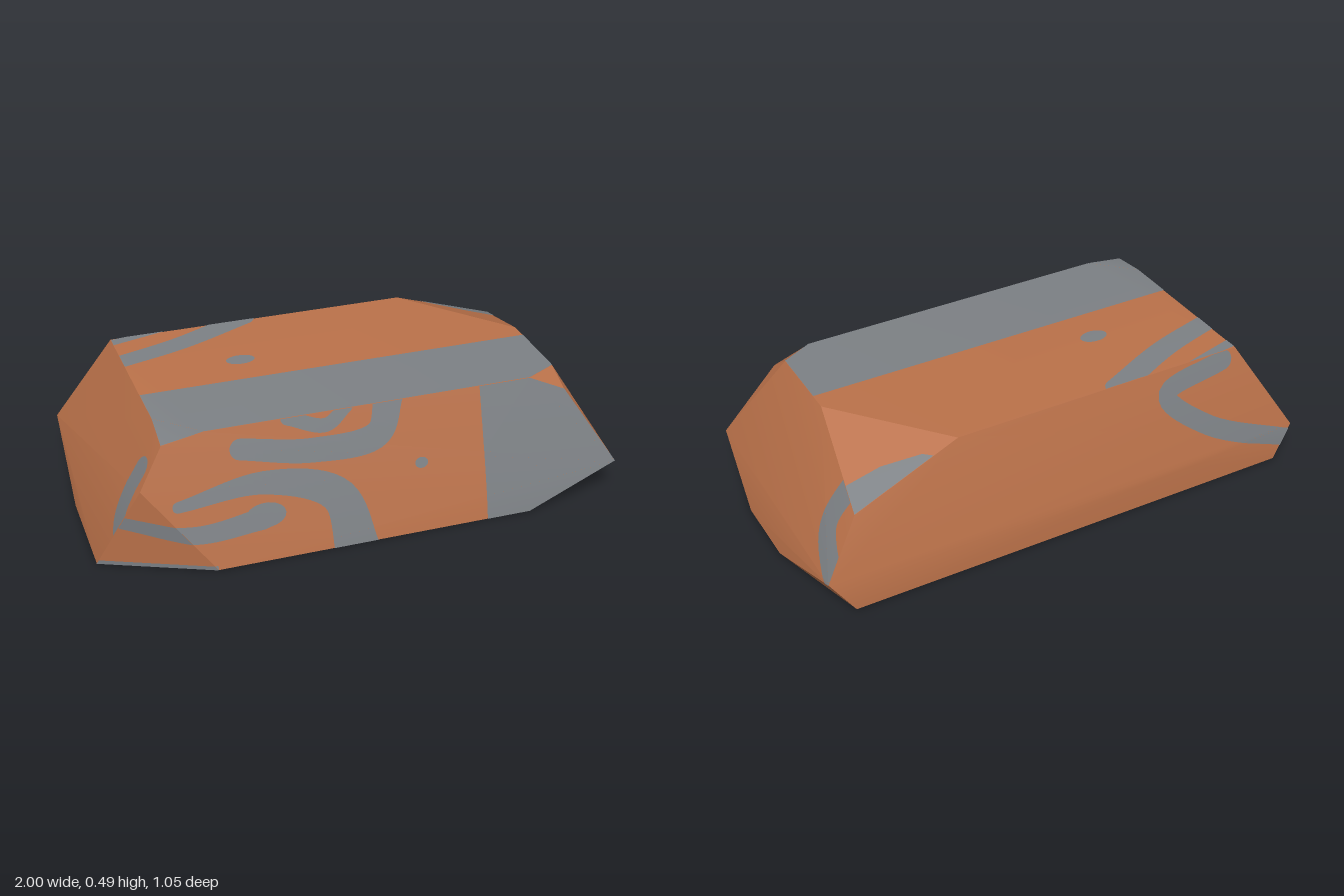
import * as THREE from 'three';
import { toCreasedNormals } from 'three/addons/utils/BufferGeometryUtils.js';
import { ConvexGeometry } from 'three/addons/geometries/ConvexGeometry.js';

const clay = new THREE.MeshStandardMaterial({ color: 0xba7149 });
clay.name = 'rust orange';
const slate = new THREE.MeshStandardMaterial({ color: 0x7c8084 });
slate.name = 'slate grey';

// Corners of the faceted stone: a ring of [x, z] at one height
const level = (y, ...ring) => ring.map(([x, z]) => new THREE.Vector3(x, y, z));
const topRim = level(0.49, [-0.75, 0.25], [-0.6, 0.393], [0.63, 0.393], [0.75, 0.33], [0.75, 0], [0.41, -0.4], [-0.76, -0.4]);
const baseRim = level(0, [-0.6, 0.528], [0.6, 0.528], [1, 0.16], [1, -0.12], [0.88, -0.525], [-0.9, -0.525], [-1, -0.05], [-1, 0.35]);
const shoulders = [
  level(0.465, [-0.755, 0.4]), level(0.43, [0.765, 0.41]),
  level(0.34, [0.83, -0.44]), level(0.32, [-0.845, 0.44]),
  level(0.135, [0.955, 0.5], [0.97, -0.51], [-0.975, -0.515]),
  level(0.1, [-0.5, -0.522], [0.28, -0.522]),
].flat();

// Painted shapes: each returns a list of convex 2D pieces
function stroke(w0, w1, ...path) {
  const curve = new THREE.CatmullRomCurve3(path.map(([a, b]) => new THREE.Vector3(a, b, 0)));
  const n = 28, rows = [], pieces = [];
  for (let i = 0; i <= n; i++) {
    const p = curve.getPoint(i / n), t = curve.getTangent(i / n);
    const h = (w0 + (w1 - w0) * i / n) / 2;
    rows.push([[p.x - t.y * h, p.y + t.x * h], [p.x + t.y * h, p.y - t.x * h]]);
  }
  for (let i = 0; i < n; i++) pieces.push([rows[i][0], rows[i][1], rows[i + 1][1], rows[i + 1][0]]);
  return [...pieces, ...spot(...path[0], w0 / 2), ...spot(...path.at(-1), w1 / 2)];
}
function spot(a, b, ra, rb = ra) {
  return [Array.from({ length: 18 }, (_, i) => {
    const t = i / 18 * Math.PI * 2;
    return [a + ra * Math.cos(t), b + rb * Math.sin(t)];
  })];
}
const patch = (...pts) => [pts];
const band = (a0, b0, a1, b1) => patch([a0, b0], [a1, b0], [a1, b1], [a0, b1]);

const cross = (a, b, c) => (b[0] - a[0]) * (c[1] - a[1]) - (b[1] - a[1]) * (c[0] - a[0]);

// Cuts a convex piece to a counter-clockwise triangle
function clip(piece, tri) {
  let poly = piece;
  for (let e = 0; e < 3; e++) {
    const a = tri[e], b = tri[(e + 1) % 3], out = [];
    poly.forEach((p, i) => {
      const q = poly[(i + 1) % poly.length], dp = cross(a, b, p), dq = cross(a, b, q);
      if (dp >= 0) out.push(p);
      if ((dp >= 0) !== (dq >= 0)) {
        const t = dp / (dp - dq);
        out.push([p[0] + (q[0] - p[0]) * t, p[1] + (q[1] - p[1]) * t]);
      }
    });
    poly = out;
  }
  return poly;
}

// Projects painted pieces along one axis on to the covered facets, as a thin skin
function paint(stone, flat, covers, pieces) {
  const pos = stone.attributes.position, nor = stone.attributes.normal;
  const points = [], normals = [];
  for (let f = 0; f < pos.count; f += 3) {
    const P = [0, 1, 2].map((k) => new THREE.Vector3().fromBufferAttribute(pos, f + k));
    const N = [0, 1, 2].map((k) => new THREE.Vector3().fromBufferAttribute(nor, f + k));
    const face = new THREE.Triangle(...P).getNormal(new THREE.Vector3());
    if (!covers(face)) continue;
    const T = P.map(flat);
    const flip = cross(...T) < 0;
    if (flip) [T, P, N].forEach((list) => list.reverse());
    const area = cross(...T);
    for (const piece of pieces) {
      const poly = clip(piece, T);
      for (let i = 1; i + 1 < poly.length; i++) {
        const fan = [poly[0], poly[i], poly[i + 1]];
        if ((cross(...fan) < 0) !== flip) fan.reverse();
        for (const p of fan) {
          const w = [cross(T[1], T[2], p) / area, cross(T[2], T[0], p) / area, cross(T[0], T[1], p) / area];
          const v = face.clone().multiplyScalar(0.002), n = new THREE.Vector3();
          w.forEach((k, j) => { v.addScaledVector(P[j], k); n.addScaledVector(N[j], k); });
          points.push(...v.toArray());
          normals.push(...n.normalize().toArray());
        }
      }
    }
  }
  const g = new THREE.BufferGeometry();
  g.setAttribute('position', new THREE.Float32BufferAttribute(points, 3));
  g.setAttribute('normal', new THREE.Float32BufferAttribute(normals, 3));
  return g;
}

export function createModel() {
  const model = new THREE.Group();
  model.name = 'paintedStone';
  const add = (name, geometry, material) => {
    const mesh = new THREE.Mesh(geometry, material);
    mesh.name = name;
    model.add(mesh);
  };
  const stone = toCreasedNormals(new ConvexGeometry([...topRim, ...shoulders, ...baseRim]), 0.3);
  add('stoneBody', stone, clay);

  const coat = (name, flat, covers, ...shapes) =>
    add(name, paint(stone, flat, covers, shapes.flat()), slate);
  const XY = (p) => [p.x, p.y], XZ = (p) => [p.x, p.z], ZY = (p) => [p.z, p.y];
  const front = (n) => n.z > 0.7, top = (n) => n.y > 0.8, base = (n) => n.y < -0.95;

  // Front: broad stripe, base line, large hook, lower curl, upper double curl
  coat('frontStripe', XY, front, band(0.43, -0.01, 1.1, 0.5), band(-1.1, -0.01, -0.6, 0.016));
  coat('frontHook', XY, front,
    stroke(0.04, 0.17, [-0.72, 0.245], [-0.4, 0.28], [-0.14, 0.19], [-0.08, -0.03]),
    spot(0.185, 0.255, 0.025, 0.02));
  coat('frontLowerCurl', XY, front,
    stroke(0.05, 0.08, [-0.91, 0.185], [-0.65, 0.135], [-0.42, 0.155]),
    spot(-0.41, 0.165, 0.075, 0.045));
  coat('frontUpperCurl', XY, front,
    stroke(0.075, 0.11, [-0.48, 0.41], [-0.22, 0.365], [0.03, 0.385], [0.08, 0.51]),
    stroke(0.05, 0.05, [-0.3, 0.49], [-0.16, 0.445], [-0.08, 0.5]));

  // Top: long stripe, dot, slanted streaks and the back corner
  coat('topStripe', XZ, top, band(-1, 0.07, 1, 0.5), spot(-0.335, -0.08, 0.055, 0.035));
  coat('topStreaks', XZ, top,
    stroke(0.1, 0.09, [-0.24, -0.41], [-0.52, -0.28], [-0.78, -0.2]),
    patch([-0.78, -0.34], [-0.78, -0.39], [-0.62, -0.41], [-0.55, -0.4]));
  coat('topCorner', XZ, top,
    patch([0.5, -0.42], [0.54, -0.38], [0.68, -0.335], [0.85, -0.325], [0.85, -0.46]));

  // Ends and back: single bent strokes
  coat('leftEndStroke', ZY, (n) => n.x > 0.7,
    stroke(0.1, 0.08, [-0.36, 0.45], [-0.35, 0.26], [-0.54, 0.14]));
  coat('rightEndStroke', ZY, (n) => n.x < -0.7,
    stroke(0.09, 0.09, [0.36, 0.36], [0.37, 0.2], [0.46, 0.14]));
  coat('backStroke', XY, (n) => n.z < -0.7,
    stroke(0.075, 0.075, [-0.7, 0.46], [-0.44, 0.4], [-0.6, 0.24], [-0.96, 0.08]));

  // Underside: long stripe, dots, arch with inner curl, corner line
  coat('baseStripe', XZ, base, band(-1.1, -0.6, 1.1, -0.1),
    spot(0.61, 0, 0.04, 0.03), spot(-0.72, 0.04, 0.06, 0.04));
  coat('baseArch', XZ, base,
    stroke(0.12, 0.14, [0.05, 0.5], [-0.02, 0.31], [-0.36, 0.35], [-0.56, 0.54]),
    stroke(0.07, 0.07, [-0.12, 0.5], [-0.15, 0.42], [-0.24, 0.42]));
  coat('baseCorner', XZ, base, patch([-1, 0.2], [-0.94, 0.3], [-0.86, 0.45], [-1, 0.45]));
  coat('lowerCornerLine', XY, (n) => n.y < -0.4 && n.y > -0.95 && n.z > 0.1,
    band(0.5, -0.01, 1.1, 0.018));
  return model;
}
